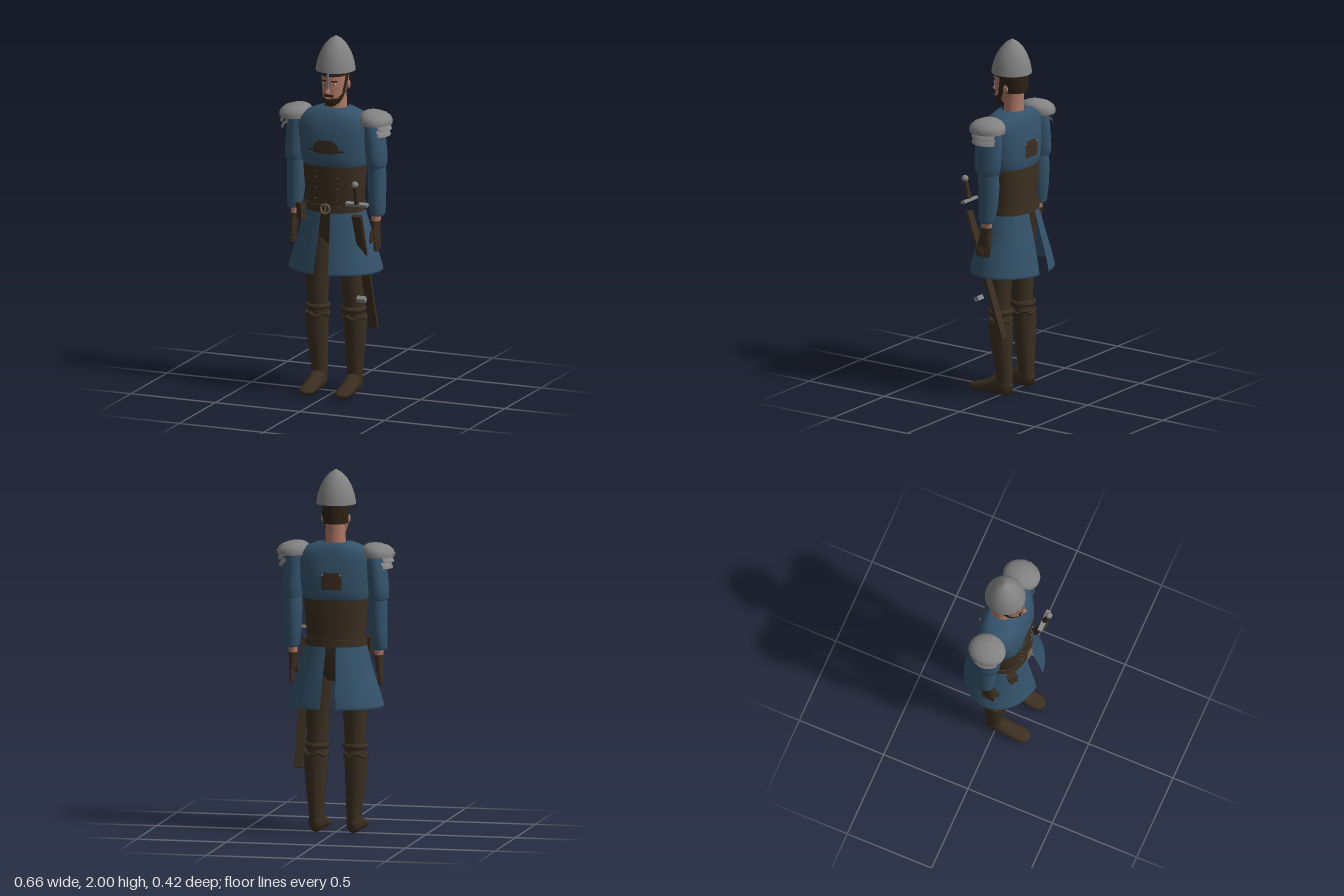
import * as THREE from 'three';

const paint = (name, color, side = THREE.FrontSide) => {
  const m = new THREE.MeshStandardMaterial({ color, side });
  m.name = name;
  return m;
};

export function createModel() {
  const model = new THREE.Group();
  model.name = 'armouredGuard';
  const DS = THREE.DoubleSide;
  const blue = paint('blue cloth', 0x34526a, DS);
  const leather = paint('dark leather', 0x3a2e20, DS);
  const steel = paint('steel', 0x828282, DS);
  const skin = paint('skin', 0xab7561);
  const hair = paint('dark hair', 0x2e2317, DS);
  const brass = paint('dull brass', 0x75654f);
  const white = paint('eye white', 0xc8c0b8);

  function add(name, geo, mat, pos = [0, 0, 0], rot = [0, 0, 0], scale = [1, 1, 1]) {
    const m = new THREE.Mesh(geo, mat);
    m.name = name;
    m.position.set(...pos);
    m.rotation.set(...rot);
    m.scale.set(...scale);
    model.add(m);
    return m;
  }

  // Skin stretched over elliptical rings [y, cx, cz, rx, rz, a0, a1], listed upwards.
  // Angle 0 points to +z and a quarter turn to +x; s = -1 mirrors the shape in x.
  function loft(rows, { s = 1, p = 1, seg = 32, arc = null, cap = false } = {}) {
    let rings = rows;
    if (cap) {
      const b = rows[0], t = rows[rows.length - 1];
      const point = (r) => [r[0], r[1], r[2], 0, 0];
      rings = [point(b), b, ...rows, t, point(t)];
    }
    const pos = [], idx = [], open = arc || rows[0].length > 5;
    const pw = (v) => Math.sign(v) * Math.abs(v) ** p;
    const n = open ? seg + 1 : seg;
    rings.forEach(([y, cx, cz, rx, rz, r0, r1]) => {
      let [a0, a1] = arc || (open ? [r0, r1] : [0, Math.PI * 2]);
      if (s < 0 && open) [a0, a1] = [-a1, -a0];
      for (let j = 0; j < n; j++) {
        const a = a0 + (a1 - a0) * j / seg;
        pos.push(s * cx + rx * pw(Math.sin(a)), y, cz + rz * pw(Math.cos(a)));
      }
    });
    for (let i = 0; i < rings.length - 1; i++) {
      for (let j = 0; j < seg; j++) {
        const k = (j + 1) % n, a = i * n + j, b = i * n + k;
        idx.push(a, b, b + n, a, b + n, a + n);
      }
    }
    const g = new THREE.BufferGeometry();
    g.setAttribute('position', new THREE.Float32BufferAttribute(pos, 3));
    g.setIndex(idx);
    g.computeVertexNormals();
    return g;
  }
  const ball = (r) => new THREE.SphereGeometry(r, 14, 10);
  const box = (x, y, z) => new THREE.BoxGeometry(x, y, z);

  // Helmet with a nose guard
  add('helmet', loft([[1.81, 0, 0.005, 0.109, 0.112], [1.825, 0, 0.005, 0.107, 0.11], [1.865, 0, 0.004, 0.1, 0.102],
    [1.91, 0, 0.003, 0.084, 0.085], [1.95, 0, 0.002, 0.061, 0.061], [1.98, 0, 0, 0.034, 0.034], [2, 0, 0, 0, 0]]), steel);
  add('noseGuard', box(0.014, 0.09, 0.007), steel, [0, 1.77, 0.114]);

  // Head, neck and face
  add('neck', loft([[1.55, 0, -0.01, 0.066, 0.062], [1.6, 0, -0.01, 0.056, 0.054], [1.72, 0, -0.012, 0.052, 0.054]]), skin);
  add('head', loft([[1.625, 0, 0.06, 0.026, 0.035], [1.645, 0, 0.046, 0.045, 0.056], [1.68, 0, 0.026, 0.059, 0.075],
    [1.72, 0, 0.012, 0.067, 0.092], [1.77, 0, 0.008, 0.072, 0.096], [1.83, 0, 0.005, 0.072, 0.094]], { cap: true }), skin);
  add('backHair', loft([[1.705, 0, 0.006, 0.068, 0.09], [1.74, 0, 0.004, 0.075, 0.096], [1.815, 0, 0.004, 0.078, 0.098]],
    { arc: [1.65, 4.63] }), hair);
  add('fringe', loft([[1.788, 0, 0.006, 0.077, 0.099], [1.82, 0, 0.005, 0.077, 0.099]]), hair);
  add('beard', loft([[1.62, 0, 0.062, 0.02, 0.03, -2.6, 2.6], [1.632, 0, 0.055, 0.037, 0.048, -2.2, 2.2],
    [1.65, 0, 0.044, 0.05, 0.063, -1.7, 1.7], [1.668, 0, 0.033, 0.059, 0.074, -1.6, 1.6]]), hair);
  add('lips', box(0.03, 0.008, 0.008), skin, [0, 1.667, 0.105]);
  add('moustache', box(0.052, 0.012, 0.01), hair, [0, 1.682, 0.101]);
  add('nose', new THREE.ConeGeometry(0.016, 0.055, 8), skin, [0, 1.725, 0.108], [-0.25, 0, 0]);
  for (const s of [1, -1]) {
    add('sideburn', loft([[1.66, 0, 0.036, 0.058, 0.07, 0.75, 1.5], [1.69, 0, 0.024, 0.064, 0.08, 1.2, 1.6],
      [1.79, 0, 0.008, 0.075, 0.098, 1.3, 1.75]], { s, seg: 8 }), hair);
    add('ear', ball(0.02), skin, [s * 0.073, 1.73, -0.005], [0, 0, 0], [0.45, 1.2, 0.8]);
    add('eye', ball(0.01), white, [s * 0.029, 1.745, 0.092], [0, 0, 0], [1.2, 0.6, 0.5]);
    add('pupil', ball(0.004), hair, [s * 0.029, 1.745, 0.0965]);
    add('eyebrow', box(0.034, 0.008, 0.008), hair, [s * 0.03, 1.763, 0.096], [0, s * 0.3, 0]);
  }

  // Tunic and leather waist
  add('tunicChest', loft([[1.285, 0, 0.01, 0.172, 0.122], [1.3, 0, 0.01, 0.183, 0.13], [1.34, 0, 0.01, 0.19, 0.134],
    [1.42, 0, 0.01, 0.2, 0.134], [1.5, 0, 0.008, 0.212, 0.121], [1.545, 0, 0.004, 0.208, 0.107],
    [1.575, 0, 0, 0.165, 0.093], [1.597, 0, -0.004, 0.105, 0.078], [1.605, 0, -0.008, 0.066, 0.064]],
  { p: 0.85, seg: 48 }), blue);
  add('waistLeather', loft([[1.04, 0, 0.008, 0.158, 0.126], [1.12, 0, 0.009, 0.162, 0.127], [1.22, 0, 0.01, 0.172, 0.127],
    [1.31, 0, 0.01, 0.178, 0.125]], { p: 0.85, seg: 48 }), leather);
  const E = 0.004;
  add('chestEmblem', loft([[1.366, 0, 0.01, 0.193 + E, 0.134 + E, -0.16, 0.16], [1.38, 0, 0.01, 0.195 + E, 0.134 + E, -0.5, 0.5],
    [1.387, 0, 0.01, 0.196 + E, 0.134 + E, -0.5, 0.5], [1.389, 0, 0.01, 0.196 + E, 0.134 + E, -0.32, 0.32],
    [1.415, 0, 0.01, 0.2 + E, 0.134 + E, -0.28, 0.28], [1.44, 0, 0.01, 0.203 + E, 0.132 + E, -0.14, 0.14]],
  { p: 0.85 }), leather);
  add('backEmblem', loft([[1.35, 0, 0.01, 0.191 + E, 0.134 + E, 2.92, 3.38], [1.42, 0, 0.01, 0.2 + E, 0.134 + E, 2.92, 3.38],
    [1.445, 0, 0.0095, 0.203 + E, 0.131 + E, 3, 3.28]], { p: 0.85, seg: 12 }), leather);
  for (const s of [1, -1]) {
    for (const y of [1.11, 1.17, 1.23]) add('waistRivet', ball(0.004), brass, [s * 0.065, y, 0.132]);
    add('backRivet', ball(0.006), brass, [s * 0.05, 1.43, -0.124]);
  }

  // Belt with buckle and pouch
  add('belt', loft([[1.035, 0, 0.008, 0.17, 0.138], [1.075, 0, 0.008, 0.168, 0.136]], { p: 0.9, seg: 48, cap: true }), leather);
  add('buckle', new THREE.TorusGeometry(0.026, 0.006, 8, 20), brass, [0, 1.058, 0.15]);
  add('buckleTongue', box(0.006, 0.05, 0.006), brass, [0, 1.058, 0.15]);
  add('pouch', box(0.045, 0.085, 0.03), leather, [-0.158, 1.02, 0.115], [0, -0.6, 0.1]);
  add('pouchFlap', box(0.05, 0.03, 0.036), leather, [-0.158, 1.055, 0.115], [0, -0.6, 0.1]);

  // Trousers seat
  add('trousersSeat', loft([[0.84, 0, 0, 0.06, 0.05], [0.88, 0, 0, 0.13, 0.085], [0.96, 0, 0, 0.152, 0.11],
    [1.05, 0, 0.005, 0.155, 0.12]], { cap: true }), leather);

  for (const s of [1, -1]) {
    const o = { s };
    // Split skirt
    add('skirtPanel', loft([[0.703, 0, 0, 0.259, 0.208], [0.7, 0, 0, 0.265, 0.213], [0.712, 0, 0, 0.263, 0.212], [0.78, 0, 0, 0.243, 0.199],
      [0.87, 0, 0.002, 0.213, 0.178], [0.96, 0, 0.005, 0.188, 0.157], [1.045, 0, 0.008, 0.167, 0.135]],
    { s, arc: [0.165, Math.PI - 0.165], seg: 40 }), blue);

    // Arms
    add('upperSleeve', loft([[1.285, 0.24, -0.004, 0.044, 0.058], [1.3, 0.24, -0.004, 0.055, 0.074], [1.35, 0.239, -0.003, 0.056, 0.079],
      [1.45, 0.229, -0.003, 0.056, 0.08], [1.53, 0.22, -0.002, 0.054, 0.075], [1.57, 0.205, 0, 0.045, 0.058], [1.59, 0.19, 0, 0, 0]], o), blue);
    add('lowerSleeve', loft([[1.015, 0.245, -0.002, 0.036, 0.04], [1.03, 0.245, -0.003, 0.043, 0.047], [1.12, 0.24, -0.008, 0.048, 0.057],
      [1.22, 0.238, -0.01, 0.051, 0.061], [1.31, 0.238, -0.006, 0.048, 0.06]], { s, cap: true }), blue);
    add('wrist', loft([[0.96, 0.238, 0.004, 0.022, 0.028], [1.03, 0.241, 0, 0.026, 0.032]], o), skin);
    add('glove', loft([[0.875, 0.247, 0.012, 0.015, 0.036], [0.91, 0.243, 0.013, 0.02, 0.041], [0.95, 0.24, 0.009, 0.022, 0.035],
      [0.985, 0.238, 0.004, 0.028, 0.034]], { s, cap: true }), leather);
    for (let i = 0; i < 4; i++) {
      add('finger', new THREE.CapsuleGeometry(0.0095, 0.06 - Math.abs(i - 1.3) * 0.008, 4, 8), leather,
        [s * 0.249, 0.852, 0.04 - i * 0.019], [0.1 - i * 0.08, 0, 0]);
    }
    add('thumb', new THREE.CapsuleGeometry(0.011, 0.05, 4, 8), leather, [s * 0.232, 0.9, 0.052], [-0.3, 0, 0]);

    // Layered shoulder guards
    add('shoulderGuard', loft([[1.528, 0.238, 0, 0.086, 0.102], [1.545, 0.237, 0, 0.089, 0.104], [1.565, 0.233, 0, 0.085, 0.098],
      [1.583, 0.226, 0, 0.07, 0.078], [1.596, 0.217, 0, 0.042, 0.046], [1.6, 0.212, 0, 0, 0]], o), steel);
    for (let i = 0; i < 2; i++) {
      const y = 1.5 - i * 0.034;
      add('shoulderLame', loft([[y, 0.24, 0, 0.083 - i * 0.006, 0.088], [y + 0.016, 0.24, 0, 0.076 - i * 0.006, 0.088],
        [y + 0.034, 0.235, 0, 0.058, 0.082]], { s, arc: [0.55, 2.59] }), steel);
    }
    for (const z of [-0.018, 0.018]) add('shoulderRivet', ball(0.006), steel, [s * 0.322, 1.543, z]);

    // Legs and boots
    add('trouserLeg', loft([[0.44, 0.105, 0.002, 0.056, 0.056], [0.52, 0.106, 0.008, 0.058, 0.058], [0.65, 0.104, 0.01, 0.065, 0.066],
      [0.78, 0.098, 0.006, 0.071, 0.075], [0.95, 0.088, 0, 0.075, 0.085]], o), leather);
    add('bootShaft', loft([[0.06, 0.105, -0.018, 0.04, 0.046], [0.13, 0.105, -0.018, 0.043, 0.047], [0.2, 0.108, -0.012, 0.05, 0.052],
      [0.3, 0.112, -0.006, 0.058, 0.061], [0.4, 0.113, -0.002, 0.064, 0.064], [0.44, 0.111, 0, 0.065, 0.064]], { s, cap: true }), leather);
    add('bootFoot', loft([[-0.066, 0.105, -0.055, 0, 0], [-0.06, 0.105, -0.055, 0.026, 0.04], [-0.035, 0.105, -0.06, 0.04, 0.058],
      [0.015, 0.105, -0.062, 0.043, 0.06], [0.065, 0.105, -0.048, 0.044, 0.044], [0.12, 0.105, -0.036, 0.046, 0.031],
      [0.165, 0.105, -0.029, 0.043, 0.023], [0.192, 0.105, -0.026, 0.028, 0.015], [0.2, 0.105, -0.026, 0, 0]], o),
    leather, [0, 0, 0], [Math.PI / 2, 0, 0]);
    add('kneeRoll', new THREE.TorusGeometry(0.058, 0.014, 10, 28), leather, [s * 0.107, 0.478, 0.004], [Math.PI / 2, 0, 0], [1, 1, 1.1]);
    const cuff = new THREE.TorusGeometry(0.06, 0.01, 8, 40), c = cuff.attributes.position;
    for (let i = 0; i < c.count; i++) {
      c.setZ(i, c.getZ(i) + 0.009 * Math.cos(5 * Math.atan2(c.getY(i), c.getX(i))));
    }
    cuff.computeVertexNormals();
    add('scallopedCuff', cuff, leather, [s * 0.11, 0.432, 0], [Math.PI / 2, 0, 0]);
  }

  // Sword and scabbard hanging at the left hip
  const tilt = Math.atan2(0.23, 0.68);
  add('scabbard', box(0.05, 0.72, 0.018), leather, [0.192, 0.7, 0.04], [tilt, 0, 0]);
  add('scabbardHolder', loft([[-0.11, 0, 0, 0.012, 0.008], [-0.09, 0, 0, 0.026, 0.013], [0.1, 0, 0, 0.031, 0.014]], { cap: true }),
    leather, [0.19, 0.945, 0.126], [tilt, 0, 0]);
  add('scabbardStud', box(0.05, 0.026, 0.028), steel, [0.19, 0.555, 0.09], [0.5, 0, 0]);
  add('crossguard', box(0.128, 0.016, 0.026), steel, [0.19, 1.103, 0.153], [tilt, 0, 0]);
  add('grip', new THREE.CylinderGeometry(0.013, 0.015, 0.11, 12), leather, [0.19, 1.16, 0.168], [0.22, 0, 0]);
  add('pommel', ball(0.019), steel, [0.19, 1.22, 0.182]);
  return model;
}
